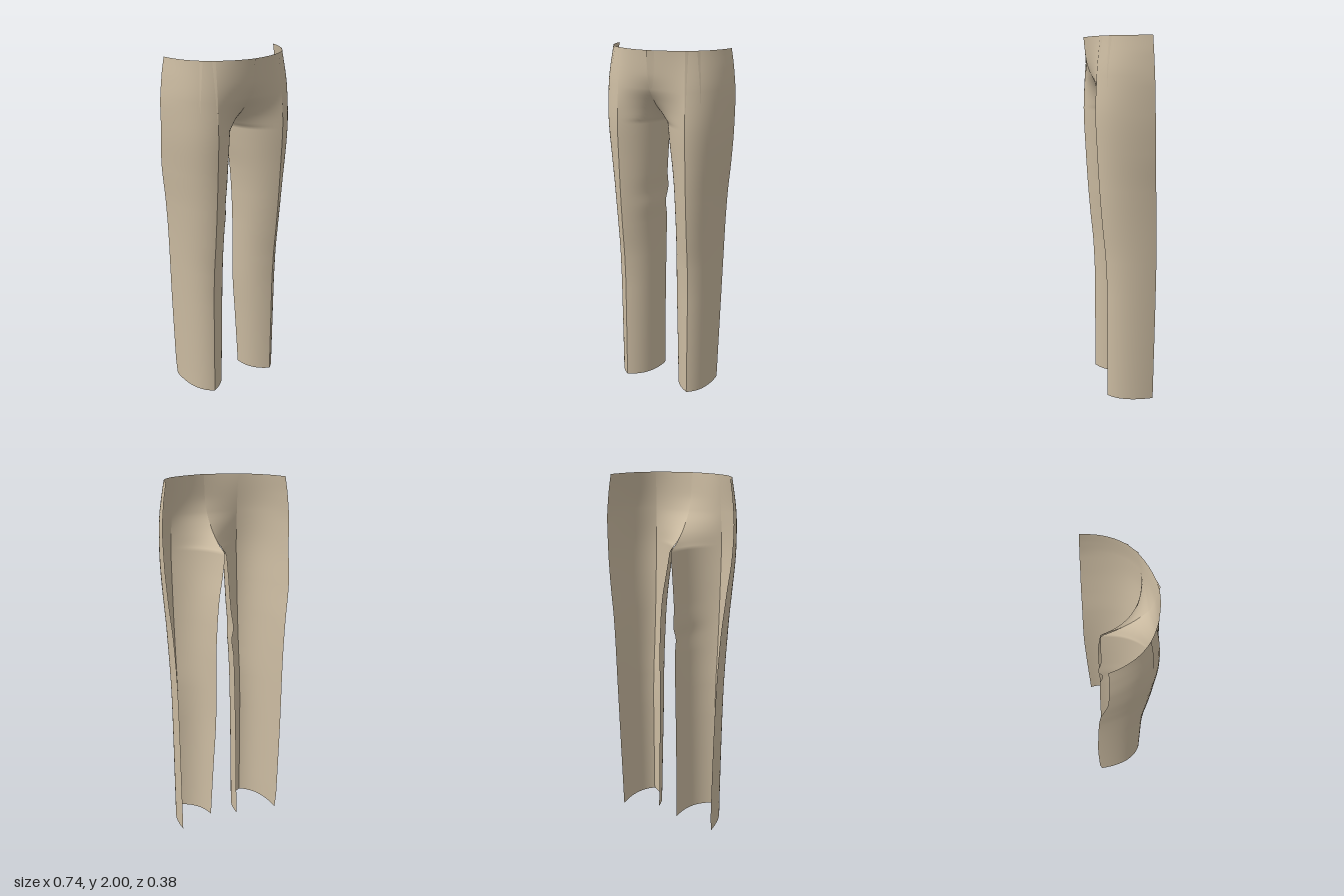
import * as THREE from 'three';
import { ParametricGeometry } from 'three/addons/geometries/ParametricGeometry.js';

// Smooth value at height y through [y, value] keys, sorted from hem to waist
function track(keys, y) {
  const n = keys.length;
  let i = 0;
  while (i < n - 2 && y > keys[i + 1][0]) i++;
  const slope = (a, b) => (keys[b][1] - keys[a][1]) / (keys[b][0] - keys[a][0]);
  const tangent = (k) => {
    if (k === 0) return slope(0, 1);
    if (k === n - 1) return slope(n - 2, n - 1);
    const a = slope(k - 1, k), b = slope(k, k + 1);
    return a * b <= 0 ? 0 : (2 * a * b) / (a + b);
  };
  const h = keys[i + 1][0] - keys[i][0];
  const t = THREE.MathUtils.clamp((y - keys[i][0]) / h, 0, 1);
  const t2 = t * t, t3 = t2 * t;
  return (2 * t3 - 3 * t2 + 1) * keys[i][1] + (t3 - 2 * t2 + t) * h * tangent(i)
    + (3 * t2 - 2 * t3) * keys[i + 1][1] + (t3 - t2) * h * tangent(i + 1);
}

// Tracks shared by both legs; x is the distance from the centre line
const shared = {
  creaseZ: [[0, 0.105], [0.6, 0.105], [0.8, 0.112], [1, 0.13], [1.2, 0.145], [1.4, 0.156], [1.6, 0.164], [1.8, 0.154], [2, 0.13]],
  innerCtrlZ: [[0, 0.05], [0.8, 0.055], [1.2, 0.085], [1.6, 0.105], [1.66, 0.115], [1.8, 0.16], [2, 0.18]],
  outerX: [[0, 0.303], [0.4, 0.31], [0.8, 0.318], [1, 0.324], [1.2, 0.335], [1.4, 0.354], [1.6, 0.367], [1.75, 0.37], [1.9, 0.358], [2, 0.342]],
  outerCtrlX: [[0, 0.313], [0.8, 0.318], [1.2, 0.327], [1.6, 0.342], [1.8, 0.34], [2, 0.315]],
  outerCtrlZ: [[0, 0.04], [0.8, 0.05], [1.2, 0.085], [1.6, 0.118], [1.8, 0.1], [2, 0.06]],
};

// Tracks that differ between the two legs
const legs = {
  left: {
    sign: 1,
    creaseX: [[0, 0.215], [1.6, 0.214], [2, 0.195]],
    innerX: [[0, 0.09], [0.35, 0.077], [0.7, 0.064], [1, 0.064], [1.2, 0.057], [1.35, 0.045], [1.5, 0.02], [1.62, 0.003], [1.66, 0], [2, 0]],
    innerZ: [[0, -0.075], [0.8, -0.1], [1.2, -0.1], [1.61, -0.088], [1.63, -0.035], [1.67, 0.035], [1.73, 0.1], [1.8, 0.15], [1.88, 0.175], [2, 0.185]],
    innerCtrlX: [[0, 0.1], [0.7, 0.075], [1.2, 0.065], [1.6, 0.035], [1.68, 0.06], [1.8, 0.1], [2, 0.1]],
    outerZ: [[0, -0.14], [0.8, -0.148], [1.4, -0.13], [1.65, -0.12], [2, -0.11]],
  },
  right: {
    sign: -1,
    creaseX: [[0, 0.2], [1.6, 0.193], [2, 0.185]],
    innerX: [[0, 0.058], [0.4, 0.053], [0.8, 0.045], [1.2, 0.033], [1.4, 0.02], [1.62, 0.003], [1.66, 0], [2, 0]],
    innerZ: [[0, -0.13], [0.8, -0.12], [1.02, -0.115], [1.12, -0.095], [1.2, -0.12], [1.3, -0.1], [1.61, -0.088], [1.63, -0.035], [1.67, 0.035], [1.73, 0.1], [1.8, 0.15], [1.88, 0.175], [2, 0.185]],
    innerCtrlX: [[0, 0.063], [0.8, 0.05], [1.2, 0.042], [1.6, 0.03], [1.68, 0.06], [1.8, 0.1], [2, 0.1]],
    outerZ: [[0, -0.175], [0.12, -0.188], [0.5, -0.19], [1, -0.178], [1.4, -0.163], [1.65, -0.122], [2, -0.11]],
  },
};

// Point on the cloth: t runs from the inside edge to the crease, or crease to side seam
function cloth(leg, panel, t, y, out) {
  const at = (name) => track(leg[name] || shared[name], y);
  const [a, b, c] = panel === 'inner' ? ['inner', 'innerCtrl', 'crease'] : ['crease', 'outerCtrl', 'outer'];
  const mix = (axis) => (1 - t) ** 2 * at(a + axis) + 2 * t * (1 - t) * at(b + axis) + t * t * at(c + axis);
  return out.set(leg.sign * mix('X'), y, mix('Z'));
}

// Cloth point pushed outwards by d
function raised(leg, panel, t, y, d, out) {
  const e = 0.01;
  const p = cloth(leg, panel, t + e, y, new THREE.Vector3());
  cloth(leg, panel, t, y, out);
  const tx = p.x - out.x, tz = p.z - out.z, len = Math.hypot(tx, tz);
  out.x += (-tz / len) * leg.sign * d;
  out.z += (tx / len) * leg.sign * d;
  return out;
}

export function createModel() {
  const group = new THREE.Group();
  group.name = 'trouserFront';
  const fabric = new THREE.MeshStandardMaterial({ color: 0xcbbba1, side: THREE.DoubleSide });
  fabric.name = 'beige fabric';

  const add = (name, fn, nu, nv) => {
    const mesh = new THREE.Mesh(new ParametricGeometry(fn, nu, nv), fabric);
    mesh.name = name;
    group.add(mesh);
  };

  for (const [side, leg] of Object.entries(legs)) {
    const facing = (u) => (leg.sign > 0 ? u : 1 - u);

    // Two panels per leg, meeting at the pressed crease
    for (const panel of ['inner', 'outer']) {
      add(`${side}Leg${panel === 'inner' ? 'Inner' : 'Outer'}Panel`,
        (u, v, p) => cloth(leg, panel, facing(u), 2 * v, p), 16, 110);
    }

    // Waist pleats: thin folds that taper to a point
    for (const [start, end, low] of [[0, 0.01, 1.66], [0.22, 0.3, 1.72]]) {
      add(`${side}Pleat`, (u, v, p) => {
        const t = THREE.MathUtils.lerp(end, start, v) + facing(u) * 0.06 * v;
        return raised(leg, 'outer', t, THREE.MathUtils.lerp(low, 2, v), 0.003 * v * (1 - facing(u)) + 0.0005, p);
      }, 2, 12);
    }
  }

  // Fly flap with a curved lower end
  add('flyFlap', (u, v, p) => {
    const low = 1.8 + 0.1 * u * u;
    return raised(legs.left, 'inner', 0.03 + 0.2 * u, THREE.MathUtils.lerp(low, 2, v), 0.006 * (1 - u) * v + 0.0008, p);
  }, 6, 12);

  return group;
}
